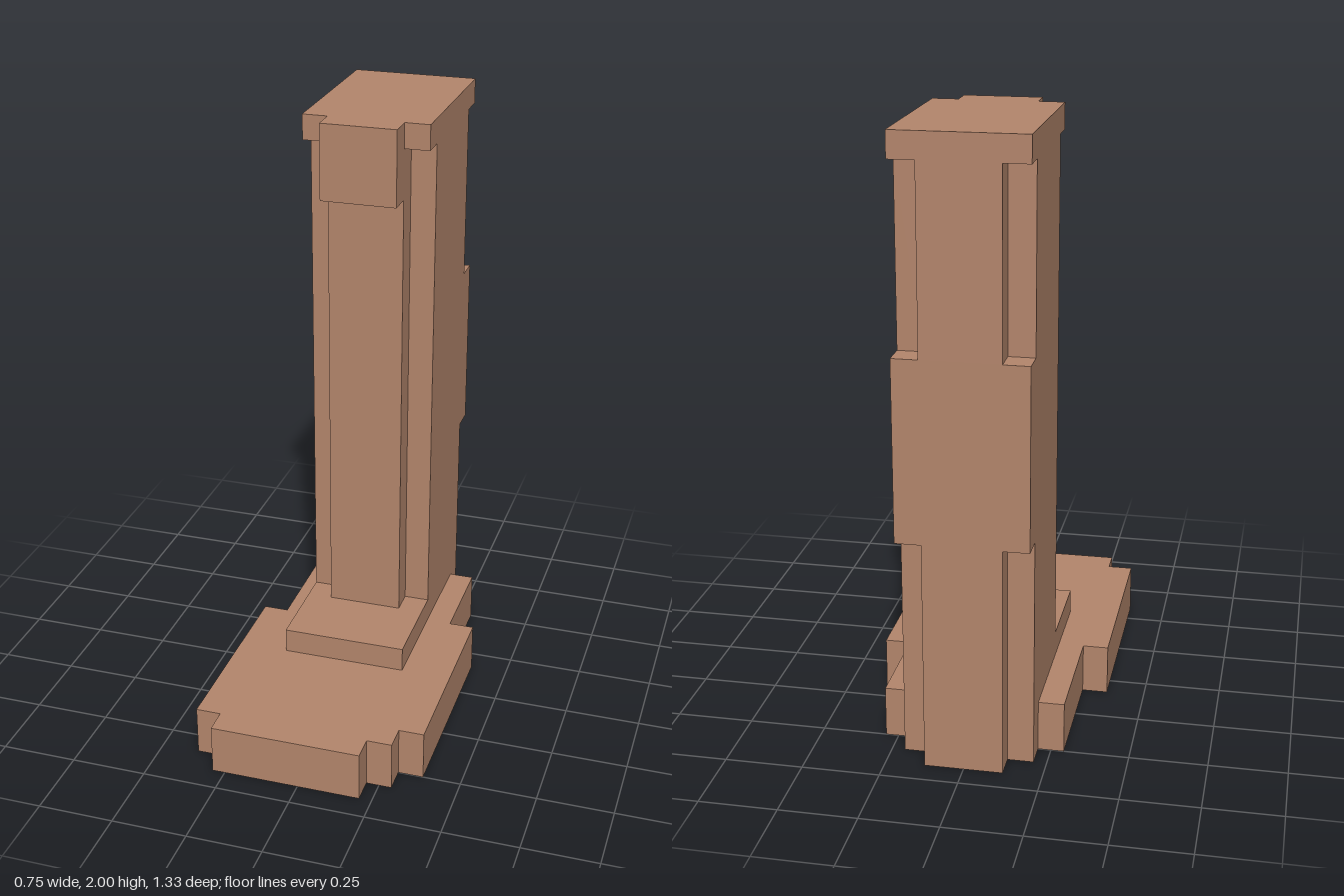
import * as THREE from 'three';

// All dimensions are whole or half grid units, 24 units tall.
const U = 1 / 12;

export function createModel() {
  const model = new THREE.Group();
  model.name = 'pillar';
  const clay = new THREE.MeshStandardMaterial({ color: 0xb4866c });
  clay.name = 'clay brown';

  // Extrudes a floor plan of [x, z] corners between two heights
  function layer(name, plan, y0, y1) {
    const shape = new THREE.Shape(plan.map(([x, z]) => new THREE.Vector2(x * U, -z * U)));
    const geometry = new THREE.ExtrudeGeometry(shape, { depth: (y1 - y0) * U, bevelEnabled: false });
    geometry.rotateX(-Math.PI / 2);
    geometry.translate(0, y0 * U, 0);
    const mesh = new THREE.Mesh(geometry, clay);
    mesh.name = name;
    model.add(mesh);
  }
  const mirror = (half) => [...half, ...half.map(([x, z]) => [-x, z]).reverse()];

  // Right halves of the plans, back to front
  const notchedBack = [[1.5, -8], [1.5, -7], [2.5, -7]];
  const fullBack = [[2.5, -8]];
  const shaftFront = [[2.5, -2], [1.5, -2], [1.5, -1]];

  // Stepped, slightly uneven foot slab
  layer('footSlab', [
    ...notchedBack, [2.5, -6], [3.5, -6], [3.5, -2], [4.5, -2], [4.5, 6], [3.5, 6], [3.5, 7],
    [2.5, 7], [2.5, 8], [-3.5, 8], [-3.5, 7], [-4.5, 7], [-4.5, -1], [-3.5, -1], [-3.5, -6],
    [-2.5, -6], [-2.5, -7], [-1.5, -7], [-1.5, -8],
  ], 0, 2);

  layer('plinth', mirror([...notchedBack, [2.5, 2]]), 2, 3);

  // Shaft, with its rear corners notched above and below the middle
  layer('lowerShaft', mirror([...notchedBack, ...shaftFront]), 3, 9);
  layer('middleShaft', mirror([...fullBack, ...shaftFront]), 9, 16);
  layer('upperShaft', mirror([...notchedBack, ...shaftFront]), 16, 23);

  // Overhanging cap and the block hanging from its front
  layer('cap', mirror([...fullBack, [2.5, -1], [1.5, -1], [1.5, 0]]), 23, 24);
  layer('frontBlock', mirror([[1.5, -1], [1.5, 0]]), 21, 23);

  return model;
}
